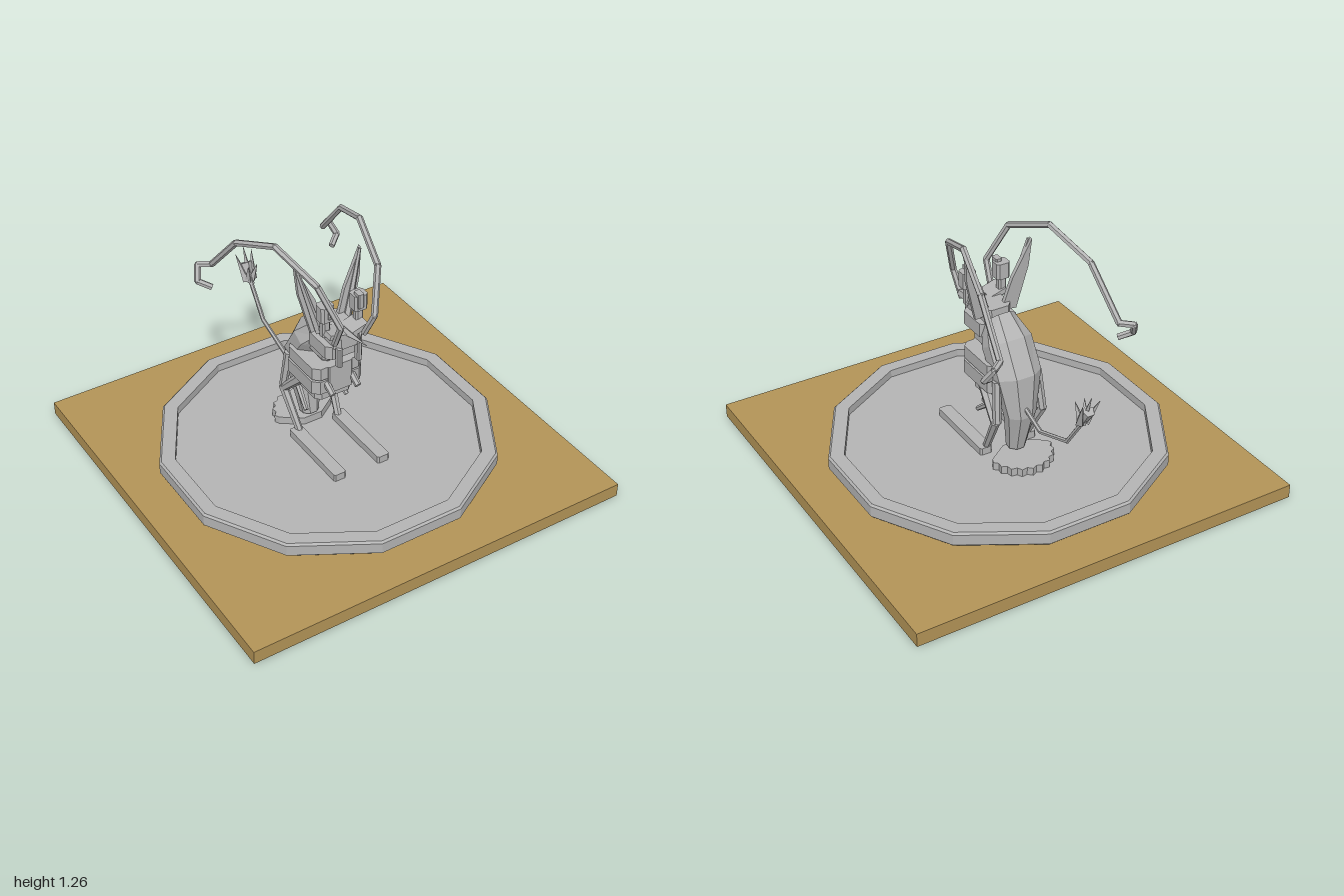
import * as THREE from 'three';

const stone = new THREE.MeshStandardMaterial({ color: 0xb4b4b4, flatShading: true });
stone.name = 'grey stone';
const wood = new THREE.MeshStandardMaterial({ color: 0xb39457, flatShading: true });
wood.name = 'tan board';
const V = (x, y, z) => new THREE.Vector3(x, y, z);

function add(parent, name, geometry, material = stone) {
  const mesh = new THREE.Mesh(geometry, material);
  mesh.name = name;
  parent.add(mesh);
  return mesh;
}

// Block with chamfered vertical corners, from its x, y and z ranges
function block(parent, name, [x0, x1], [y0, y1], [z0, z1], c = 0.02) {
  const w = (x1 - x0) / 2, d = (z1 - z0) / 2;
  const s = new THREE.Shape([[w - c, -d], [w, c - d], [w, d - c], [w - c, d],
    [c - w, d], [-w, d - c], [-w, c - d], [c - w, -d]].map(p => new THREE.Vector2(...p)));
  const g = new THREE.ExtrudeGeometry(s, { depth: y1 - y0, bevelEnabled: false });
  g.rotateX(-Math.PI / 2).translate((x0 + x1) / 2, y0, (z0 + z1) / 2);
  return add(parent, name, g);
}

// Straight rod between two points, with its own radius at each end
function rod(parent, name, a, b, r0, r1 = r0, sides = 6) {
  const d = b.clone().sub(a);
  const m = add(parent, name, new THREE.CylinderGeometry(r1, r0, d.length(), sides));
  m.position.copy(a).lerp(b, 0.5);
  m.quaternion.setFromUnitVectors(V(0, 1, 0), d.normalize());
  return m;
}

// Bent rod with a joint at every corner
function bentRod(parent, name, points, r, sides = 6) {
  const g = new THREE.Group();
  g.name = name;
  parent.add(g);
  for (let i = 1; i < points.length; i++) {
    rod(g, name + 'Segment', points[i - 1], points[i], r, r, sides);
    if (i < points.length - 1)
      add(g, name + 'Joint', new THREE.IcosahedronGeometry(r, 0)).position.copy(points[i]);
  }
}

// Flat outline extruded along z
function plate(parent, name, points, depth) {
  const s = new THREE.Shape(points.map(p => new THREE.Vector2(...p)));
  const g = new THREE.ExtrudeGeometry(s, { depth, bevelEnabled: false });
  return add(parent, name, g.translate(0, 0, -depth / 2));
}

// Eight-sided loft; each section is [y, z, halfWidth, halfDepth, tilt]
function loft(parent, name, sections) {
  const pos = [], index = [], n = 8;
  sections.forEach(([y, z, w, d, tilt]) => {
    for (let i = 0; i < n; i++) {
      const a = (i + 0.5) / n * Math.PI * 2, q = d * Math.sin(a) * 1.08;
      pos.push(w * Math.cos(a) * 1.08, y + q * Math.sin(tilt), z + q * Math.cos(tilt));
    }
  });
  for (let s = 0; s < sections.length - 1; s++)
    for (let i = 0; i < n; i++) {
      const a = s * n + i, b = s * n + (i + 1) % n;
      index.push(a, a + n, b, b, a + n, b + n);
    }
  const top = (sections.length - 1) * n;
  for (let i = 1; i < n - 1; i++)
    index.push(0, i, i + 1, top, top + i + 1, top + i);
  const g = new THREE.BufferGeometry();
  g.setAttribute('position', new THREE.Float32BufferAttribute(pos, 3));
  g.setIndex(index);
  g.computeVertexNormals();
  return add(parent, name, g);
}

// Everything that exists once per side
function buildSide(s) {
  const side = new THREE.Group();
  side.name = s > 0 ? 'leftSide' : 'rightSide';
  const P = (x, y, z) => V(s * x, y, z);
  const X = (a, b) => (s > 0 ? [a, b] : [-b, -a]);

  // Long feelers sweeping back into a hook
  bentRod(side, 'feeler', [
    P(0.08, 0.82, 0.19), P(0.09, 0.95, 0.255), P(0.16, 1.15, 0.17), P(0.225, 1.245, -0.08),
    P(0.285, 1.15, -0.33), P(0.31, 0.93, -0.53), P(0.365, 0.925, -0.57),
    P(0.39, 0.86, -0.53), P(0.335, 0.83, -0.49)], 0.016);

  // Tall pointed ear with a centre ridge
  const ear = plate(side, 'ear', [[0.03, 0.81], [0.11, 0.8], [0.13, 0.88], [0.165, 1.02],
    [0.175, 1.16], [0.155, 1.12], [0.08, 0.97]].map(([x, y]) => [s * x, y]), 0.02);
  ear.rotation.set(-0.08, 0, 0);
  ear.position.z = 0.09;
  rod(side, 'earRidge', P(0.075, 0.8, 0.045), P(0.168, 1.15, 0.01), 0.02, 0.008, 5);

  // Eye block on a short stalk
  block(side, 'eyeStalk', X(0.07, 0.11), [0.83, 0.93], [0.1, 0.14], 0.008);
  block(side, 'eye', X(0.055, 0.125), [0.92, 1.0], [0.09, 0.155], 0.012);
  block(side, 'eyeLens', X(0.065, 0.095), [0.94, 1.015], [0.12, 0.165], 0.005);

  // Cheek plate and mouth finger
  const cheek = add(side, 'cheekPlate', new THREE.BoxGeometry(0.09, 0.025, 0.1));
  cheek.position.set(s * 0.06, 0.845, 0.14);
  cheek.rotation.z = s * 0.3;
  block(side, 'mouthFinger', X(0.04, 0.065), [0.68, 0.78], [0.165, 0.2], 0.006);

  // Small folded arms
  rod(side, 'upperArm', P(0.07, 0.55, 0.08), P(0.07, 0.5, 0.16), 0.018, 0.016);
  rod(side, 'lowerArm', P(0.1, 0.4, -0.1), P(0.115, 0.32, -0.005), 0.016, 0.012);

  // Bent hind leg and long flat foot
  rod(side, 'thigh', P(0.105, 0.52, -0.02), P(0.13, 0.34, -0.19), 0.03, 0.02);
  rod(side, 'shin', P(0.13, 0.355, -0.195), P(0.11, 0.13, -0.07), 0.022, 0.018);
  rod(side, 'hipRod', P(0.11, 0.56, -0.17), P(0.125, 0.35, -0.2), 0.022, 0.02);
  block(side, 'foot', X(0.09, 0.155), [0.113, 0.152], [-0.1, 0.31], 0.008);
  return side;
}

export function createModel() {
  const model = new THREE.Group();
  model.name = 'creatureOnPedestal';

  // Square board and twelve-sided dish
  add(model, 'board', new THREE.BoxGeometry(2, 0.07, 2), wood).position.y = 0.035;
  const profile = [[0, -0.001], [0.78, -0.001], [0.78, 0.08], [0.825, 0.08], [0.835, 0.09],
    [0.835, 0.145], [0.825, 0.155], [0.757, 0.155], [0.757, 0.115], [0, 0.115]];
  add(model, 'dish', new THREE.LatheGeometry(
    profile.map(p => new THREE.Vector2(...p)), 12, Math.PI / 12));

  // Jagged fan lying behind the feet
  const fan = [];
  for (let i = 0; i <= 20; i++) {
    const a = i / 20 * Math.PI, r = i % 2 ? 0.165 : 0.15;
    fan.push([r * Math.cos(a), 0.2 + r * Math.sin(a)]);
  }
  fan.push([-0.05, 0.13], [0.05, 0.13]);
  const fanMesh = plate(model, 'tailFan', fan, 0.04);
  fanMesh.rotation.x = -Math.PI / 2;
  fanMesh.position.y = 0.136;

  // Arched back and abdomen
  loft(model, 'abdomen', [
    [0.17, -0.165, 0.045, 0.042, 0.1], [0.37, -0.2, 0.075, 0.06, 0],
    [0.57, -0.165, 0.115, 0.085, -0.2], [0.7, -0.08, 0.115, 0.09, -0.55],
    [0.78, 0.0, 0.075, 0.08, -0.8]]);

  // Chest bands
  block(model, 'upperBand', [-0.135, 0.135], [0.565, 0.63], [-0.155, 0.11], 0.03);
  block(model, 'bandGroove', [-0.125, 0.125], [0.555, 0.566], [-0.15, 0.1], 0.03);
  block(model, 'lowerBand', [-0.138, 0.138], [0.485, 0.556], [-0.16, 0.11], 0.03);
  block(model, 'chestPlate', [-0.065, 0.065], [0.48, 0.63], [0.1, 0.118], 0.005);
  block(model, 'belly', [-0.1, 0.1], [0.415, 0.486], [-0.15, 0.07], 0.025);
  block(model, 'neck', [-0.06, 0.06], [0.62, 0.67], [-0.06, 0.07]);
  block(model, 'collar', [-0.08, 0.08], [0.66, 0.71], [-0.06, 0.1]);

  // Head and its forward spike
  block(model, 'jaw', [-0.1, 0.1], [0.71, 0.78], [-0.025, 0.165], 0.025);
  block(model, 'skull', [-0.07, 0.07], [0.77, 0.845], [-0.02, 0.19], 0.025);
  rod(model, 'browSpike', V(0, 0.83, 0.12), V(0, 0.865, 0.33), 0.026, 0.001, 4);

  // Thin tail with a spiked tuft
  bentRod(model, 'tail', [V(0, 0.43, -0.22), V(0, 0.365, -0.38),
    V(0, 0.445, -0.6), V(0, 0.62, -0.72)], 0.011);
  rod(model, 'tuftCore', V(0, 0.6, -0.705), V(0, 0.7, -0.76), 0.014, 0.03, 5);
  [[0, 0.78, -0.78], [0.045, 0.75, -0.78], [-0.045, 0.75, -0.78],
    [0.025, 0.72, -0.69], [-0.025, 0.72, -0.69]].forEach(tip =>
    rod(model, 'tuftSpike', V(tip[0] * 0.4, 0.62, -0.72), V(...tip), 0.022, 0.001, 4));

  model.add(buildSide(1), buildSide(-1));
  return model;
}
